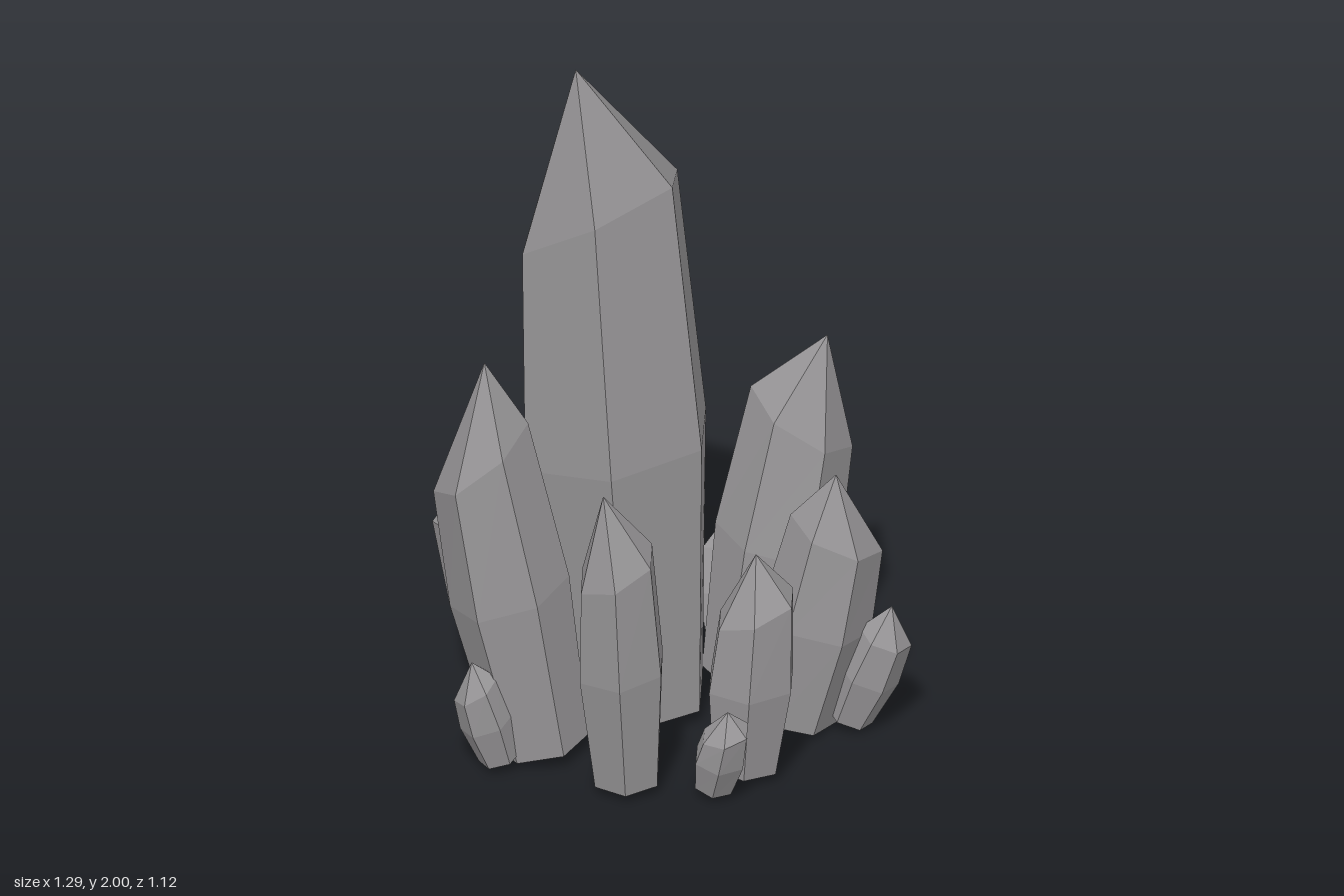
import * as THREE from 'three';

const stone = new THREE.MeshStandardMaterial({ color: 0x979597 });
stone.name = 'grey crystal';
stone.flatShading = true;

const SIDES = 6;
const FOOT_HEIGHT = 0.03;
const SHOULDER_RATIO = 0.75; // the point starts at three quarters of the height

// Hexagonal crystal: foot, belly and shoulder rings square to the leaning axis, then an off-centre point.
// foot and shoulder are [x, z]; without a shoulder the crystal leans straight towards its tip.
// turned puts a corner to the front, tilt slopes the shoulder along x and z.
function crystal(name, { foot, tip, shoulder, radius, turned = false, tilt = [0, 0] }) {
  const end = new THREE.Vector3(...tip);
  const start = new THREE.Vector3(foot[0], FOOT_HEIGHT, foot[1]);
  const neck = start.clone().lerp(end, 0.85);
  if (shoulder) neck.set(shoulder[0], 0, shoulder[1]);
  neck.y = end.y * SHOULDER_RATIO;
  const axis = neck.clone().sub(start).normalize();
  const lean = new THREE.Quaternion().setFromUnitVectors(new THREE.Vector3(0, 1, 0), axis);

  const ring = (t, scale, slope) => Array.from({ length: SIDES }, (_, i) => {
    const a = ((i + (turned ? 0.5 : 0)) * 2 * Math.PI) / SIDES;
    const x = Math.cos(a) * radius * scale;
    const z = Math.sin(a) * radius * scale;
    return new THREE.Vector3(x, slope * (tilt[0] * x + tilt[1] * z), z)
      .applyQuaternion(lean)
      .add(start.clone().lerp(neck, t));
  });
  const rings = [ring(0, 0.88, 0), ring(0.53, 1.15, 0.2), ring(1, 1, 1)];

  const points = [];
  for (let i = 0; i < SIDES; i++) {
    const j = (i + 1) % SIDES;
    points.push(start, rings[0][i], rings[0][j]);
    for (let k = 0; k < 2; k++) {
      const [lo, hi] = [rings[k], rings[k + 1]];
      points.push(lo[i], hi[i], lo[j], lo[j], hi[i], hi[j]);
    }
    points.push(rings[2][i], end, rings[2][j]);
  }
  const geometry = new THREE.BufferGeometry().setFromPoints(points);
  geometry.computeVertexNormals();
  const mesh = new THREE.Mesh(geometry, stone);
  mesh.name = name;
  return mesh;
}

export function createModel() {
  const model = new THREE.Group();
  model.name = 'crystalCluster';
  const add = (name, options) => model.add(crystal(name, options));

  // Tall centre crystal
  add('mainCrystal', { foot: [-0.11, -0.09], shoulder: [-0.2, -0.09], tip: [-0.26, 2, 0.035], radius: 0.24, turned: true, tilt: [0.45, 0.3] });

  // Medium crystals around it
  add('rightTallCrystal', { foot: [-0.345, 0.18], shoulder: [-0.51, 0.175], tip: [-0.5, 1.185, 0.19], radius: 0.145, tilt: [0.55, 0] });
  add('rightRearCrystal', { foot: [-0.38, -0.08], shoulder: [-0.525, -0.1], tip: [-0.51, 0.77, -0.08], radius: 0.13 });
  add('frontCrystal', { foot: [-0.11, 0.375], shoulder: [-0.135, 0.44], tip: [-0.17, 0.93, 0.465], radius: 0.11, turned: true, tilt: [0.4, -0.1] });
  add('leftRearCrystal', { foot: [0.2, -0.22], shoulder: [0.335, -0.295], tip: [0.405, 1.04, -0.275], radius: 0.15, tilt: [-0.4, -0.1] });
  add('leftCrystal', { foot: [0.325, 0], shoulder: [0.44, 0], tip: [0.44, 0.78, 0.035], radius: 0.132, tilt: [-0.2, 0] });
  add('frontLeftCrystal', { foot: [0.205, 0.285], shoulder: [0.235, 0.305], tip: [0.235, 0.68, 0.31], radius: 0.11, turned: true, tilt: [0.45, 0] });
  add('backCrystal', { foot: [-0.04, -0.37], shoulder: [-0.05, -0.42], tip: [-0.09, 0.72, -0.42], radius: 0.112, turned: true });

  // Small outer shards
  add('frontShard', { foot: [0.125, 0.41], tip: [0.165, 0.28, 0.465], radius: 0.064, turned: true, tilt: [0.4, 0] });
  add('frontRightShard', { foot: [-0.455, 0.27], tip: [-0.53, 0.33, 0.3], radius: 0.067, tilt: [0.3, 0] });
  add('rearRightShard', { foot: [-0.45, -0.25], tip: [-0.53, 0.36, -0.27], radius: 0.075 });
  add('backShard', { foot: [0.14, -0.39], tip: [0.13, 0.36, -0.52], radius: 0.08, turned: true });
  add('leftShard', { foot: [0.475, 0], tip: [0.59, 0.38, 0.03], radius: 0.075 });

  return model;
}
